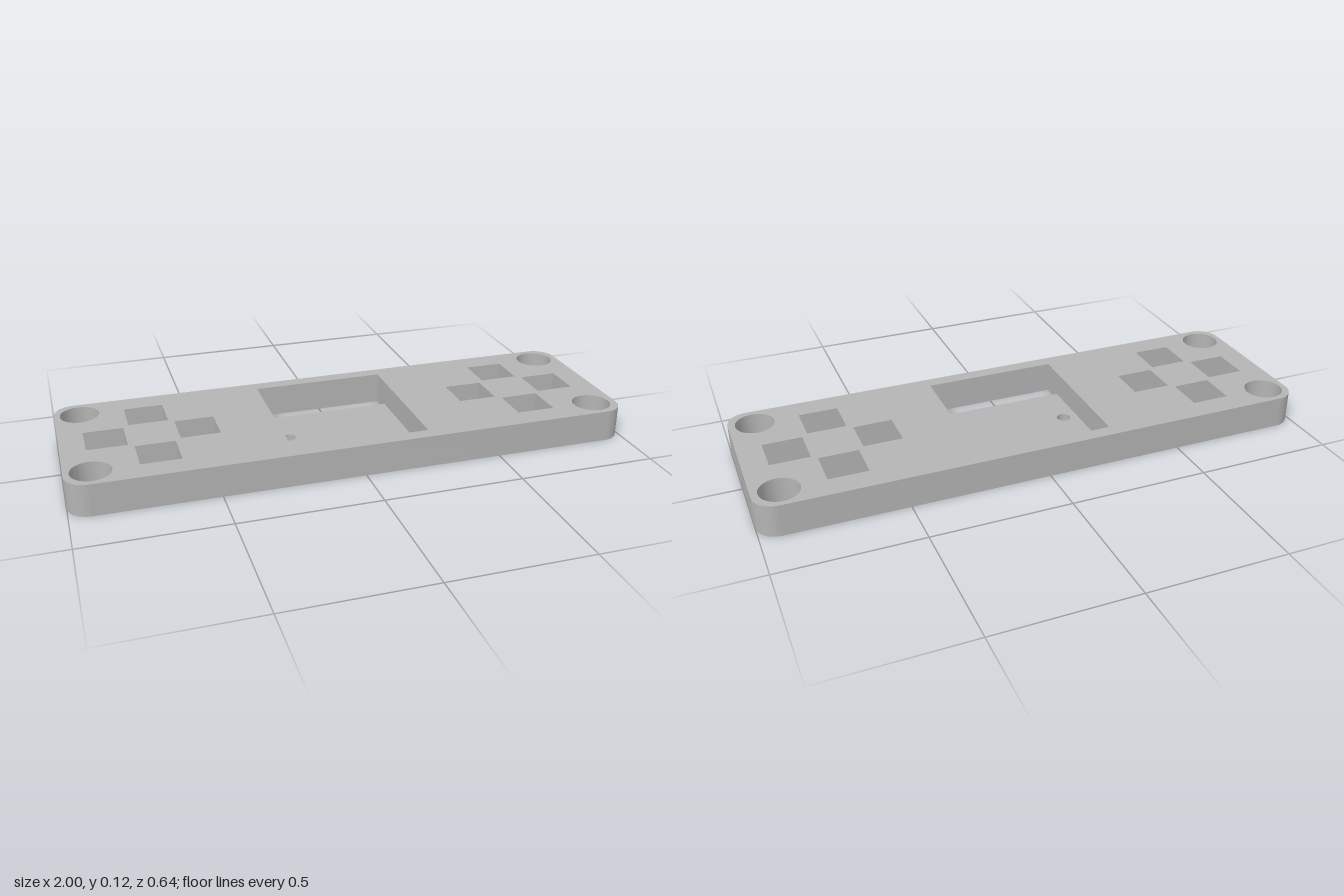
import * as THREE from 'three';
import { toCreasedNormals } from 'three/addons/utils/BufferGeometryUtils.js';

const LENGTH = 2, WIDTH = 0.636, HEIGHT = 0.115, FLOOR = 0.025, CORNER = 0.075;

// Rounded outline of the plate
function outline() {
  const x = LENGTH / 2, y = WIDTH / 2, r = CORNER;
  const s = new THREE.Shape();
  s.absarc(x - r, y - r, r, 0, Math.PI / 2);
  s.absarc(-x + r, y - r, r, Math.PI / 2, Math.PI);
  s.absarc(-x + r, -y + r, r, Math.PI, Math.PI * 1.5);
  s.absarc(x - r, -y + r, r, Math.PI * 1.5, Math.PI * 2);
  s.closePath();
  return s;
}

function rectHole(x, z, w, d) {
  const a = w / 2, b = d / 2;
  return new THREE.Path([[-a, -b], [-a, b], [a, b], [a, -b]]
    .map(([u, v]) => new THREE.Vector2(x + u, -z + v))).closePath();
}

function roundHole(x, z, r) {
  return new THREE.Path().absarc(x, -z, r, 0, Math.PI * 2, true);
}

// Extrude the outline with its holes upwards from y0 to y1
function layer(name, holes, y0, y1, material) {
  const shape = outline();
  shape.holes.push(...holes);
  const geo = new THREE.ExtrudeGeometry(shape, { depth: y1 - y0, bevelEnabled: false, curveSegments: 20 });
  geo.rotateX(-Math.PI / 2);
  geo.translate(0, y0, 0);
  const mesh = new THREE.Mesh(toCreasedNormals(geo, Math.PI / 6), material);
  mesh.name = name;
  return mesh;
}

export function createModel() {
  const grey = new THREE.MeshStandardMaterial({ color: 0xb4b4b4 });
  grey.name = 'grey plastic';
  const bodyHoles = [], floorHoles = [];

  // Counterbored screw holes in the corners
  for (const x of [-0.911, 0.907]) for (const z of [-0.229, 0.228]) {
    bodyHoles.push(roundHole(x, z, 0.069));
    floorHoles.push(roundHole(x, z, 0.025));
  }

  // A diamond of four square pockets at each end, each with a slot in its floor
  for (const cx of [-0.683, 0.681]) {
    for (const [dx, dz] of [[-0.16, 0], [0.16, 0], [0, -0.158], [0, 0.158]]) {
      bodyHoles.push(rectHole(cx + dx, dz, 0.14, 0.14));
      floorHoles.push(rectHole(cx + dx, dz, 0.024, 0.138));
    }
  }

  // Central bay with two through openings and a small cable hole
  bodyHoles.push(rectHole(-0.001, 0, 0.488, 0.534));
  for (const side of [-1, 1]) floorHoles.push(rectHole(-0.001, side * 0.224, 0.488, 0.086));
  floorHoles.push(roundHole(-0.192, 0, 0.025));

  const model = new THREE.Group();
  model.name = 'mountingPlate';
  model.add(layer('plateFloor', floorHoles, 0, FLOOR, grey));
  model.add(layer('plateBody', bodyHoles, FLOOR, HEIGHT, grey));
  return model;
}
